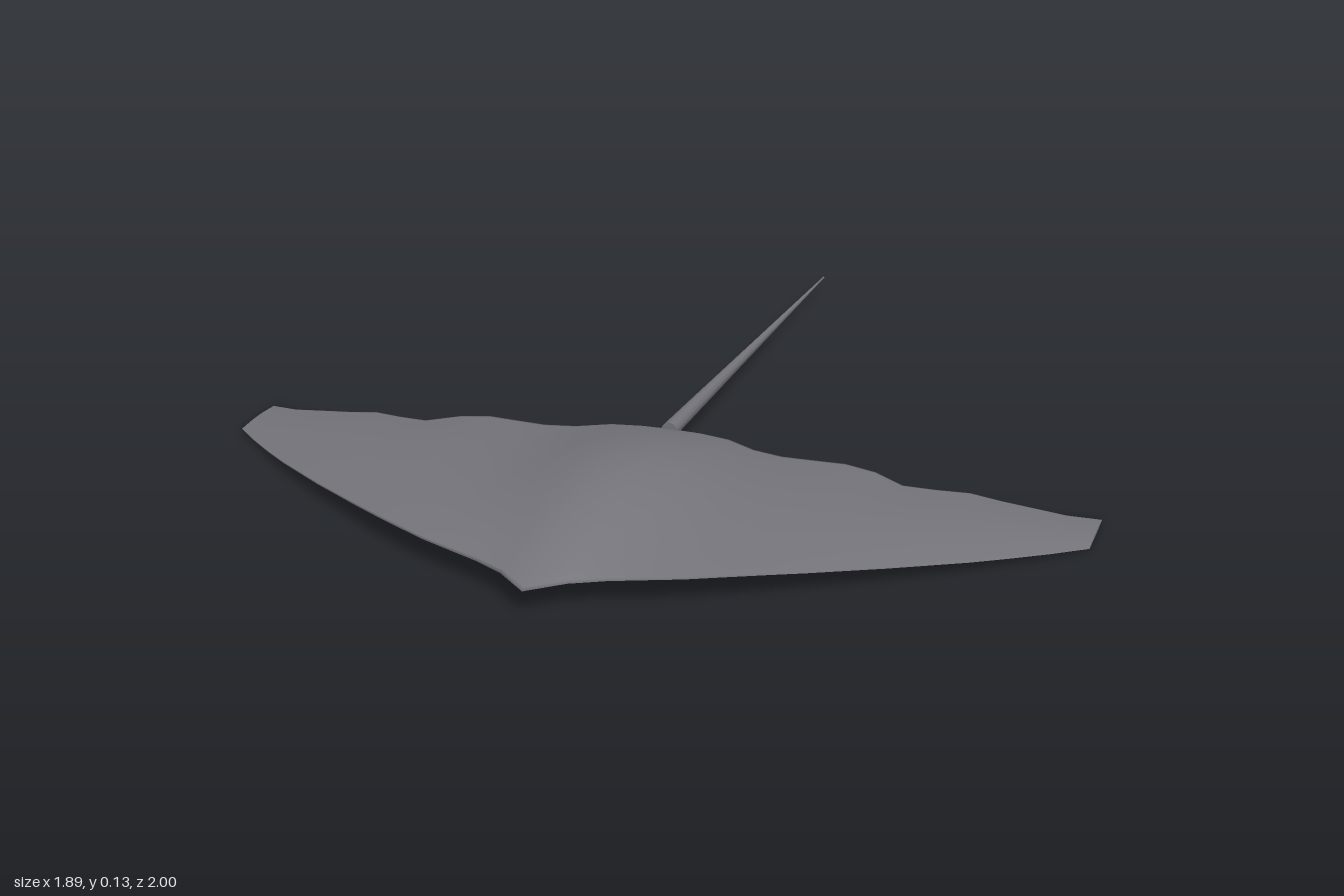
import * as THREE from 'three';

// Half-span stations from the centre line to the wing tip:
// [front z, back z, crown y, belly y, rim y]
const STEP = 0.0675;
const STATIONS = [
  [1.0, 0.17, 0.129, 0.031, 0.05],
  [0.945, 0.175, 0.121, 0.034, 0.051],
  [0.912, 0.19, 0.103, 0.038, 0.052],
  [0.887, 0.228, 0.086, 0.043, 0.053],
  [0.86, 0.243, 0.077, 0.045, 0.053],
  [0.825, 0.238, 0.071, 0.044, 0.052],
  [0.788, 0.23, 0.066, 0.041, 0.05],
  [0.745, 0.24, 0.061, 0.037, 0.045],
  [0.7, 0.277, 0.055, 0.032, 0.04],
  [0.655, 0.265, 0.049, 0.027, 0.035],
  [0.605, 0.245, 0.042, 0.022, 0.029],
  [0.555, 0.25, 0.034, 0.017, 0.023],
  [0.5, 0.25, 0.026, 0.012, 0.017],
  [0.44, 0.248, 0.016, 0.006, 0.01],
  [0.375, 0.23, 0.007, 0.0, 0.003],
];
const HALF = 14; // chord divisions on each of the upper and lower skins

// Closed section: front rim over the crown to the back rim, then under the belly
function section(side) {
  const [front, back, crown, belly, rim] = STATIONS[Math.abs(side)];
  const points = [];
  for (let j = 0; j < HALF * 2; j++) {
    const t = (1 - Math.cos((Math.PI * j) / HALF)) / 2;
    const arch = Math.max(0, Math.sin(Math.PI * t));
    const y = j <= HALF
      ? rim + (crown - rim) * Math.pow(arch, 0.9)
      : rim + (belly - rim) * Math.pow(arch, 0.6);
    points.push([side * STEP, y, front + (back - front) * t]);
  }
  return points;
}

function bodyGeometry() {
  const last = STATIONS.length - 1;
  const ring = HALF * 2;
  const positions = [];
  const index = [];
  for (let s = -last; s <= last; s++) positions.push(...section(s).flat());

  // Skin between neighbouring sections
  for (let i = 0; i < last * 2; i++) {
    for (let j = 0; j < ring; j++) {
      const k = (j + 1) % ring;
      const a = i * ring + j, d = i * ring + k;
      const b = a + ring, c = d + ring;
      index.push(a, b, d, b, c, d);
    }
  }

  // Flat wing-tip ends with their own vertices, so the tips stay crisp
  for (const side of [-last, last]) {
    const start = positions.length / 3;
    positions.push(...section(side).flat());
    for (let j = 1; j < ring - 1; j++) {
      if (side < 0) index.push(start, start + j, start + j + 1);
      else index.push(start, start + j + 1, start + j);
    }
  }

  const geometry = new THREE.BufferGeometry();
  geometry.setAttribute('position', new THREE.Float32BufferAttribute(positions, 3));
  geometry.setIndex(index);
  geometry.computeVertexNormals();
  return geometry;
}

export function createModel() {
  const model = new THREE.Group();
  model.name = 'ray';

  const skin = new THREE.MeshStandardMaterial({ color: 0x75747b });
  skin.name = 'slate grey skin';

  // Wide winged body
  const body = new THREE.Mesh(bodyGeometry(), skin);
  body.name = 'wingedBody';
  model.add(body);

  // Long tapering tail, drooping slightly toward its tip
  const tail = new THREE.Mesh(new THREE.CylinderGeometry(0.002, 0.0185, 1.195, 10), skin);
  tail.name = 'tail';
  tail.rotation.x = -Math.PI / 2 - 0.028;
  tail.position.set(0, 0.04, -0.4025);
  model.add(tail);

  return model;
}
